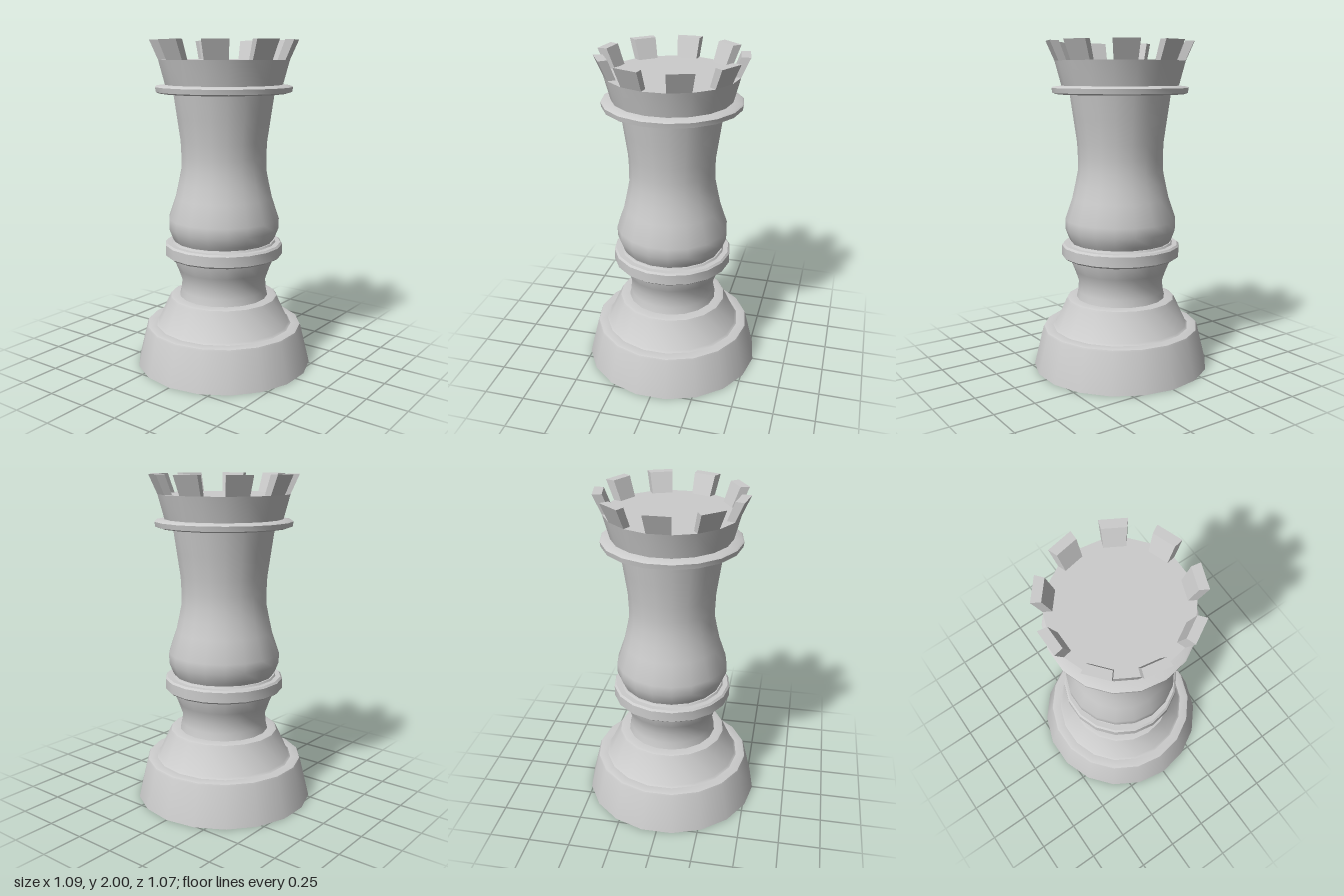
import * as THREE from 'three';
import { toCreasedNormals } from 'three/addons/utils/BufferGeometryUtils.js';

const SIDES = 18;
const STEP = (Math.PI * 2) / SIDES;
const material = new THREE.MeshStandardMaterial({ color: 0xcccccc });

// Turned section from [radius, height] pairs listed bottom to top; a corner lies on +x
function turned(name, profile, crease = 0.6) {
  const points = profile.map(([r, y]) => new THREE.Vector2(r, y));
  const lathe = new THREE.LatheGeometry(points, SIDES, STEP / 2);
  const mesh = new THREE.Mesh(toCreasedNormals(lathe, crease), material);
  mesh.name = name;
  return mesh;
}

// One battlement block: a box bent onto one side of the crown and flared outward
function merlon(angle) {
  const geometry = new THREE.BoxGeometry(1, 1, 1);
  const pos = geometry.attributes.position;
  for (let i = 0; i < pos.count; i++) {
    const top = pos.getY(i) > 0;
    const outer = pos.getZ(i) > 0;
    const r = outer ? (top ? 0.444 : 0.393) : (top ? 0.389 : 0.344);
    const a = angle + pos.getX(i) * STEP;
    pos.setXYZ(i, r * Math.sin(a), top ? 2 : 1.885, r * Math.cos(a));
  }
  geometry.computeVertexNormals();
  const mesh = new THREE.Mesh(geometry, material);
  mesh.name = 'battlement';
  return mesh;
}

export function createModel() {
  const model = new THREE.Group();
  model.name = 'rookChessPiece';

  // Stepped foot with softened upper edges
  model.add(turned('base', [
    [0, 0], [0.545, 0], [0.487, 0.24], [0.482, 0.25], [0.472, 0.254], [0.425, 0.254],
    [0.412, 0.264], [0.34, 0.42], [0.333, 0.432], [0.32, 0.437], [0.25, 0.437],
  ]));

  // Concave neck above the foot
  model.add(turned('neck', [
    [0.276, 0.435], [0.266, 0.48], [0.261, 0.54], [0.285, 0.61], [0.32, 0.695], [0.32, 0.71],
  ]));

  // Bevelled ring around the waist
  model.add(turned('collar', [
    [0.3, 0.693], [0.35, 0.695], [0.364, 0.706], [0.364, 0.768], [0.353, 0.779],
    [0.322, 0.779], [0.315, 0.79], [0.28, 0.79],
  ]));

  // Bulging body that narrows and flares again
  model.add(turned('body', [
    [0.3, 0.78], [0.318, 0.81], [0.341, 0.87], [0.341, 0.93], [0.297, 1.06], [0.277, 1.15],
    [0.261, 1.23], [0.26, 1.31], [0.264, 1.4], [0.284, 1.54], [0.307, 1.7],
  ]));

  // Thin projecting rim below the crown
  model.add(turned('rim', [
    [0.29, 1.688], [0.385, 1.69], [0.409, 1.698], [0.414, 1.727], [0.405, 1.734], [0.34, 1.742],
  ]));

  // Flared crown closed by a flat floor
  model.add(turned('crown', [[0.353, 1.735], [0.393, 1.885], [0, 1.885]]));

  // Nine blocks on alternate sides, starting at the back
  const battlements = new THREE.Group();
  battlements.name = 'battlements';
  for (let i = 0; i < SIDES / 2; i++) battlements.add(merlon(Math.PI + i * 2 * STEP));
  model.add(battlements);

  return model;
}
